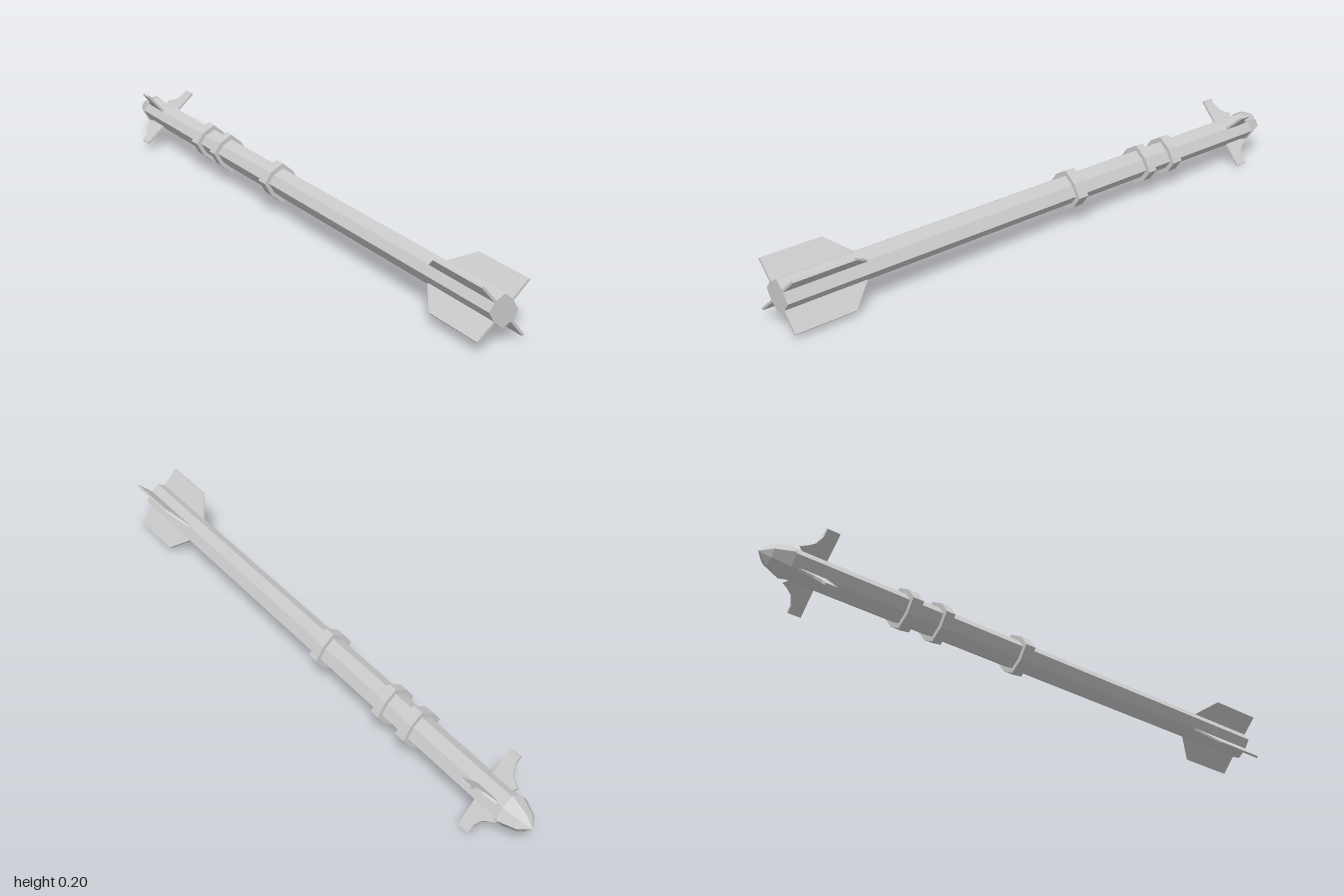
import * as THREE from 'three';

const AXIS_Y = 0.103;
const material = new THREE.MeshStandardMaterial({ color: 0xcccccc, flatShading: true });

// Slightly skewed octagon, counter-clockwise seen from +z
const SECTION = [
  [0.064, -0.010], [0.039, 0.033], [0.002, 0.065], [-0.041, 0.043],
  [-0.064, 0.010], [-0.039, -0.033], [-0.001, -0.065], [0.037, -0.046],
];

// Joins scaled copies of the octagon; stations are [z, scale], running towards -z
function loft(name, stations) {
  const pos = [];
  const n = SECTION.length;
  const point = ([z, s], j) => [SECTION[j % n][0] * s, SECTION[j % n][1] * s, z];
  for (let i = 0; i < stations.length - 1; i++) {
    const [p, q] = [stations[i], stations[i + 1]];
    for (let j = 0; j < n; j++) {
      const a = point(p, j), b = point(p, j + 1), c = point(q, j + 1), d = point(q, j);
      if (q[1] > 0) pos.push(...a, ...d, ...c);
      if (p[1] > 0) pos.push(...a, ...c, ...b);
    }
  }
  const geo = new THREE.BufferGeometry();
  geo.setAttribute('position', new THREE.Float32BufferAttribute(pos, 3));
  geo.computeVertexNormals();
  const mesh = new THREE.Mesh(geo, material);
  mesh.name = name;
  return mesh;
}

// Flat plate from an outline of [radius, z] points, turned about the long axis
function fin(name, outline, angle, stretch) {
  const thickness = 0.007;
  const shape = new THREE.Shape(outline.map(([r, z]) => new THREE.Vector2(r * stretch, z)));
  const geo = new THREE.ExtrudeGeometry(shape, { depth: thickness, bevelEnabled: false });
  geo.translate(0, 0, -thickness / 2);
  geo.rotateX(Math.PI / 2);
  const mesh = new THREE.Mesh(geo, material);
  mesh.rotation.z = THREE.MathUtils.degToRad(angle);
  mesh.name = name;
  return mesh;
}

export function createModel() {
  const model = new THREE.Group();
  model.name = 'missile';
  const assembly = new THREE.Group();
  assembly.name = 'airframe';
  assembly.position.y = AXIS_Y;
  model.add(assembly);

  // Long tube and flared nose
  assembly.add(loft('body', [[1, 0], [1, 0.75], [-0.915, 0.75], [-0.915, 0]]));
  assembly.add(loft('nose', [[-0.905, 0], [-0.915, 0.83], [-0.97, 0.5], [-1, 0]]));

  // Mounting bands
  [[-0.053, -0.091], [-0.373, -0.405], [-0.49, -0.528]].forEach(([z0, z1], i) => {
    assembly.add(loft('band' + (i + 1), [[z0, 0], [z0, 1], [z1, 1], [z1, 0]]));
  });

  // Four tail fins and four small forward fins
  const tail = [[0.02, 0.73], [0.04, 0.73], [0.105, 0.803], [0.105, 1], [0.02, 1]];
  const canard = [
    [0.02, -0.87], [0.034, -0.875], [0.051, -0.897], [0.06, -0.877], [0.072, -0.858],
    [0.095, -0.845], [0.118, -0.845], [0.118, -0.803], [0.02, -0.803],
  ];
  [41, 131, 220, 309].forEach((angle, i) => {
    const stretch = i % 2 ? 1.07 : 1;
    assembly.add(fin('tailFin' + (i + 1), tail, angle, stretch));
    assembly.add(fin('forwardFin' + (i + 1), canard, angle, stretch));
  });
  return model;
}
